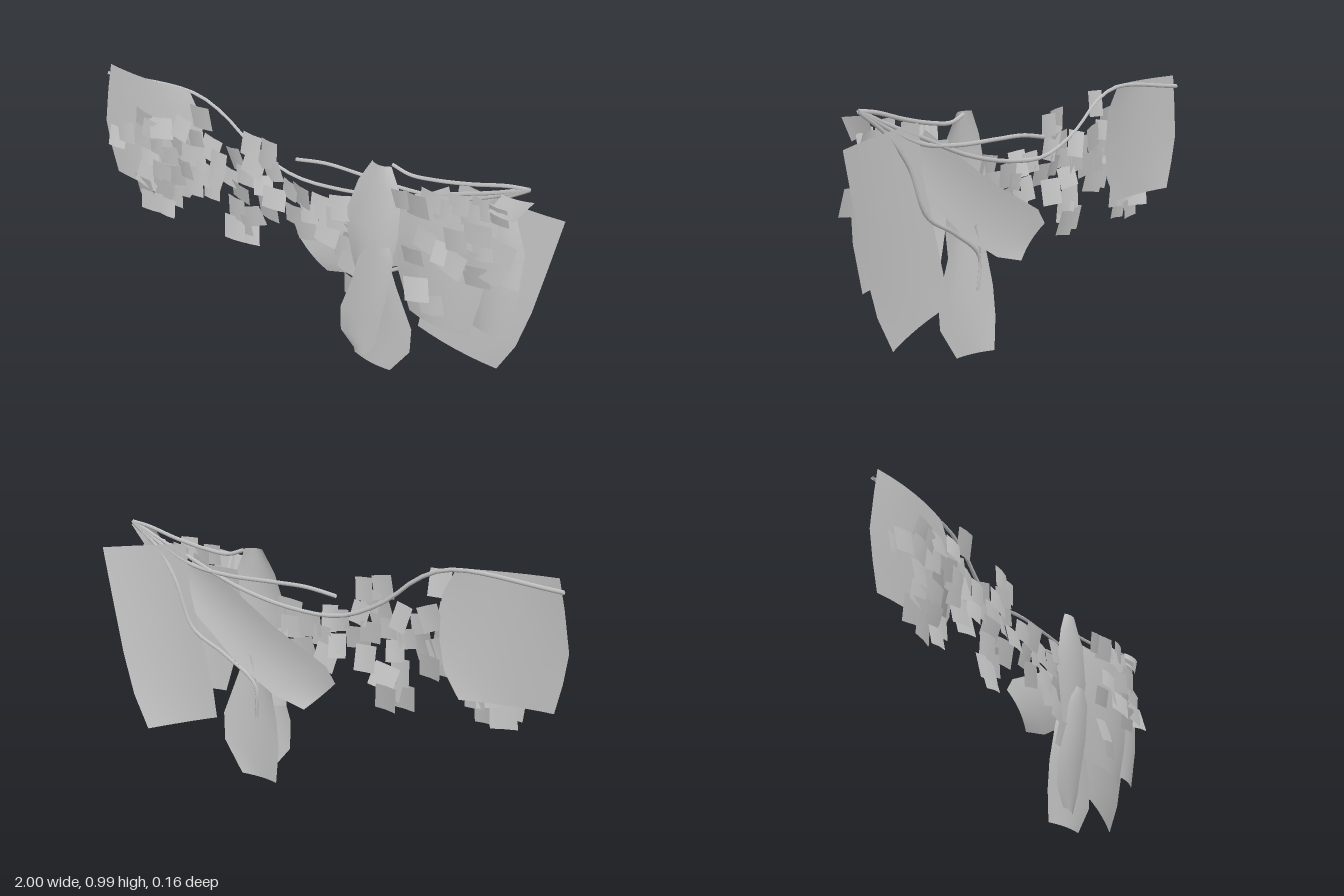
import * as THREE from 'three';

const material = new THREE.MeshStandardMaterial({ color: 0xcccccc, side: THREE.DoubleSide });

// Curved sheet: rows of [leftX, leftY, rightX, rightY, z] from top to bottom,
// bowed across its width by bulge and turned by slope
function sheet(name, rows, bulge, slope = 0) {
  const cols = 6, pos = [], index = [];
  for (const [xl, yl, xr, yr, z] of rows) {
    for (let c = 0; c <= cols; c++) {
      const u = c / cols;
      pos.push(xl + (xr - xl) * u, yl + (yr - yl) * u,
        z + slope * (u - 0.5) + bulge * 4 * u * (1 - u));
    }
  }
  for (let r = 0; r < rows.length - 1; r++) {
    for (let c = 0; c < cols; c++) {
      const a = r * (cols + 1) + c, b = a + cols + 1;
      index.push(a, b, a + 1, b, b + 1, a + 1);
    }
  }
  const geo = new THREE.BufferGeometry();
  geo.setAttribute('position', new THREE.Float32BufferAttribute(pos, 3));
  geo.setIndex(index);
  geo.computeVertexNormals();
  const mesh = new THREE.Mesh(geo, material);
  mesh.name = name;
  return mesh;
}

// Thin four-sided stem through a few points
function stem(name, points, radius = 0.008) {
  const curve = new THREE.CatmullRomCurve3(points.map(p => new THREE.Vector3(...p)));
  const mesh = new THREE.Mesh(new THREE.TubeGeometry(curve, 32, radius, 4), material);
  mesh.name = name;
  return mesh;
}

function seeded(seed) {
  return () => {
    seed = (seed * 16807) % 2147483647;
    return seed / 2147483647;
  };
}

// Cluster of small, slightly folded square blossoms at [x, y] centres
function blossoms(name, centres, z, spread, seed) {
  const group = new THREE.Group(), rand = seeded(seed);
  group.name = name;
  for (const [x, y] of centres) {
    const w = 0.075 + rand() * 0.03, h = 0.075 + rand() * 0.03;
    const geo = new THREE.PlaneGeometry(w, h, 2, 1);
    const p = geo.attributes.position;
    for (let i = 0; i < p.count; i++) if (Math.abs(p.getX(i)) < 0.001) p.setZ(i, 0.004);
    geo.computeVertexNormals();
    const petal = new THREE.Mesh(geo, material);
    petal.name = 'blossom';
    petal.position.set(x, y, z + (rand() - 0.5) * spread);
    petal.rotation.set((rand() - 0.5) * 0.45, (rand() - 0.5) * 0.45, (rand() - 0.5) * 0.6);
    group.add(petal);
  }
  return group;
}

export function createModel() {
  const model = new THREE.Group();

  // Large leaves
  model.add(
    sheet('leftEndLeaf', [
      [-0.96, 0.92, -0.57, 0.92, -0.028], [-0.98, 0.81, -0.51, 0.82, -0.023],
      [-1.0, 0.66, -0.5, 0.66, -0.018], [-0.98, 0.55, -0.52, 0.54, -0.015],
      [-0.95, 0.44, -0.58, 0.44, -0.013]], 0.018),
    sheet('rightBackLeaf', [
      [0.61, 0.91, 1.0, 0.87, -0.06], [0.59, 0.72, 0.96, 0.68, -0.06],
      [0.53, 0.5, 0.91, 0.45, -0.06], [0.49, 0.35, 0.86, 0.28, -0.06],
      [0.47, 0.23, 0.79, 0.145, -0.062]], 0.014, -0.036),
    sheet('rightFrontLeaf', [
      [0.4, 0.82, 0.8, 0.83, 0.01], [0.39, 0.68, 0.78, 0.68, 0.02],
      [0.41, 0.5, 0.75, 0.48, 0.018], [0.46, 0.33, 0.71, 0.31, 0.008]], 0.02),
    sheet('rightOuterLeaf', [
      [0.68, 0.9, 0.84, 0.9, -0.01], [0.68, 0.76, 0.9, 0.74, 0.0],
      [0.7, 0.55, 0.89, 0.53, 0.0], [0.71, 0.36, 0.86, 0.35, -0.01]], 0.015),
    sheet('rightTopLeaf', [
      [0.8, 0.95, 0.92, 0.96, 0.008], [0.76, 0.88, 0.86, 0.87, 0.025]], 0.008),
    sheet('diagonalLeaf', [
      [0.57, 0.88, 0.65, 0.72, -0.038], [0.44, 0.79, 0.56, 0.63, -0.041],
      [0.2, 0.63, 0.38, 0.47, -0.043], [-0.04, 0.5, 0.2, 0.36, -0.045],
      [-0.08, 0.44, 0.06, 0.32, -0.045]], 0.012),
    sheet('middleUpperLeaf', [
      [0.28, 0.91, 0.36, 0.91, 0.005], [0.23, 0.82, 0.41, 0.81, 0.015],
      [0.18, 0.66, 0.41, 0.64, 0.025], [0.21, 0.5, 0.38, 0.5, 0.022],
      [0.24, 0.36, 0.33, 0.36, 0.012]], 0.015),
    sheet('hangingFrontLeaf', [
      [0.3, 0.59, 0.38, 0.59, 0.035], [0.25, 0.5, 0.4, 0.54, 0.037],
      [0.22, 0.38, 0.38, 0.38, 0.036], [0.17, 0.24, 0.35, 0.25, 0.03],
      [0.17, 0.13, 0.33, 0.14, 0.024], [0.23, 0.06, 0.3, 0.05, 0.018]], 0.01),
    sheet('hangingBackLeaf', [
      [0.3, 0.55, 0.35, 0.55, -0.005], [0.24, 0.42, 0.4, 0.41, -0.005],
      [0.2, 0.25, 0.47, 0.24, -0.01], [0.19, 0.13, 0.465, 0.13, -0.013],
      [0.2, 0.0, 0.38, 0.005, -0.016]], 0.012, 0.028));

  // Stems fanning out from the upper right
  model.add(
    stem('longStem', [[0.88, 0.98, -0.03], [0.75, 0.92, -0.032], [0.6, 0.86, -0.037],
      [0.35, 0.76, -0.042], [0.1, 0.705, -0.042], [-0.1, 0.7, -0.038], [-0.28, 0.77, -0.035],
      [-0.42, 0.87, -0.032], [-0.55, 0.913, -0.032], [-0.98, 0.873, -0.032]]),
    stem('middleStem', [[0.88, 0.98, -0.03], [0.72, 0.89, -0.035], [0.58, 0.83, -0.04],
      [0.4, 0.805, -0.044], [0.2, 0.8, -0.045], [0.05, 0.795, -0.045], [-0.08, 0.772, -0.04]]),
    stem('topStem', [[0.88, 0.978, -0.03], [0.8, 0.965, -0.03], [0.66, 0.925, -0.028],
      [0.52, 0.895, -0.025], [0.42, 0.885, -0.022], [0.35, 0.905, -0.018]]),
    stem('hangingStem', [[0.88, 0.977, -0.03], [0.75, 0.88, -0.036], [0.66, 0.76, -0.045],
      [0.58, 0.58, -0.046], [0.43, 0.49, -0.042], [0.29, 0.38, -0.035], [0.29, 0.25, -0.03]]),
    stem('sideTwig', [[0.31, 0.5, -0.035], [0.28, 0.39, -0.035]], 0.006));

  // Blossom clusters
  model.add(
    blossoms('leftBlossoms', [
      [-0.91, 0.63], [-0.86, 0.67], [-0.76, 0.76], [-0.77, 0.68], [-0.75, 0.6], [-0.7, 0.67],
      [-0.67, 0.75], [-0.64, 0.63], [-0.76, 0.5], [-0.78, 0.44], [-0.74, 0.39], [-0.68, 0.47],
      [-0.66, 0.39], [-0.63, 0.45], [-0.61, 0.55], [-0.68, 0.55], [-0.71, 0.73]],
      0.024, 0.02, 11),
    blossoms('leftInnerBlossoms', [
      [-0.56, 0.6], [-0.58, 0.69], [-0.57, 0.78], [-0.52, 0.74], [-0.5, 0.66], [-0.48, 0.85],
      [-0.52, 0.55], [-0.45, 0.72], [-0.45, 0.54], [-0.48, 0.6], [-0.53, 0.67]],
      0.018, 0.028, 17),
    blossoms('centreLeftBlossoms', [
      [-0.4, 0.68], [-0.42, 0.61], [-0.35, 0.63], [-0.33, 0.71], [-0.3, 0.58], [-0.28, 0.66],
      [-0.32, 0.5], [-0.33, 0.41], [-0.26, 0.48], [-0.27, 0.4], [-0.24, 0.81], [-0.24, 0.72],
      [-0.17, 0.8], [-0.16, 0.71], [-0.2, 0.64], [-0.18, 0.54], [-0.14, 0.61], [-0.2, 0.76],
      [-0.29, 0.44]],
      0.012, 0.03, 29),
    blossoms('centreBlossoms', [
      [-0.07, 0.67], [-0.01, 0.67], [-0.05, 0.57], [0.02, 0.6], [0.0, 0.52], [0.07, 0.64],
      [0.1, 0.54], [0.15, 0.62], [0.16, 0.5], [0.17, 0.68], [0.21, 0.56], [0.2, 0.44],
      [0.22, 0.35]],
      0.016, 0.025, 47),
    blossoms('rightBlossoms', [
      [0.44, 0.83], [0.5, 0.83], [0.55, 0.86], [0.6, 0.84], [0.54, 0.7], [0.49, 0.61],
      [0.51, 0.47], [0.57, 0.42], [0.61, 0.66], [0.66, 0.74], [0.65, 0.64]],
      0.055, 0.025, 63),
    blossoms('rightSideBlossoms', [
      [0.66, 0.88], [0.7, 0.85], [0.74, 0.79], [0.71, 0.67], [0.76, 0.73], [0.79, 0.65],
      [0.74, 0.61]],
      0.045, 0.02, 71),
    blossoms('outerBlossoms', [[0.8, 0.87], [0.82, 0.73], [0.86, 0.66]], 0.025, 0.015, 85));

  return model;
}
